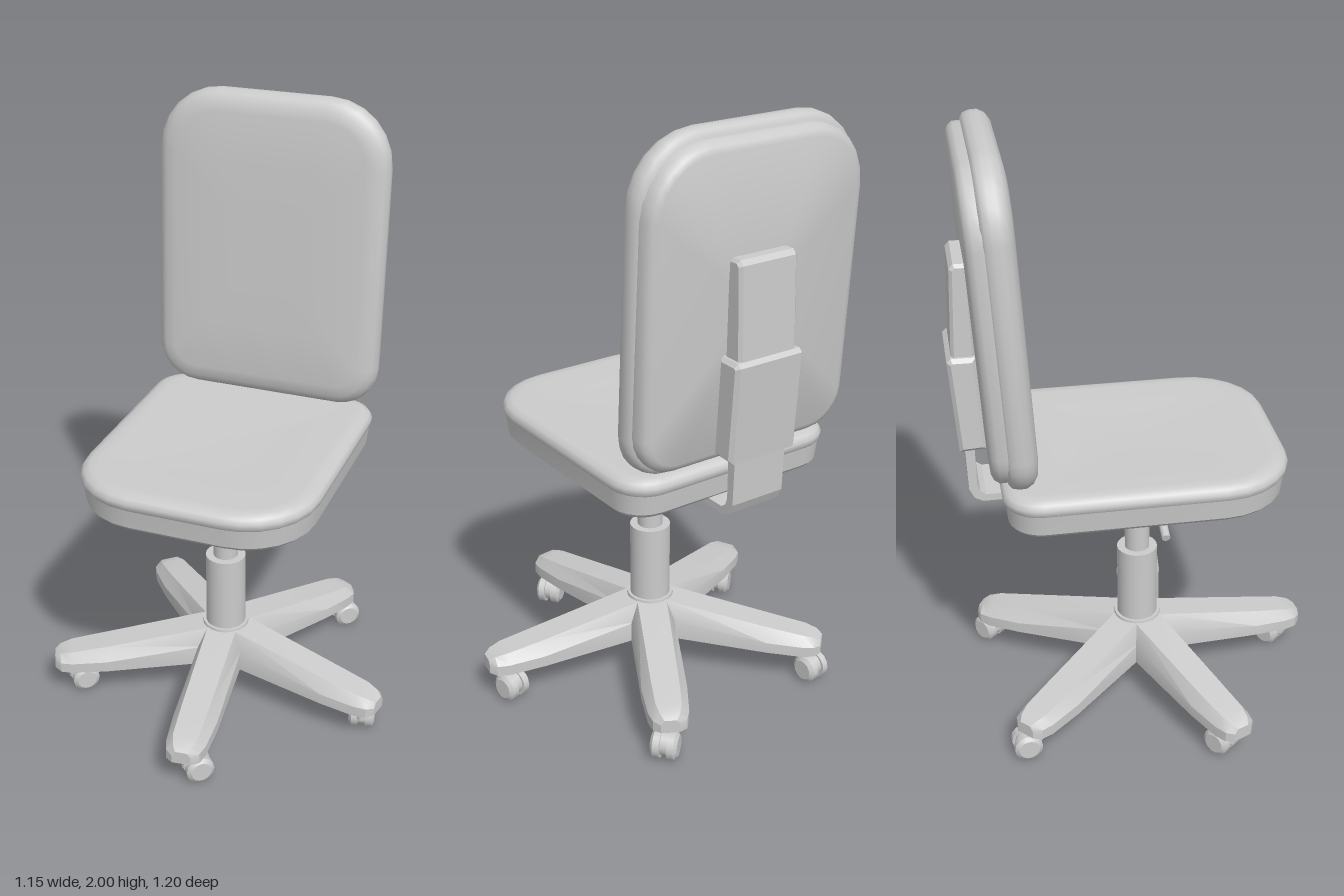
import * as THREE from 'three';
import { toCreasedNormals } from 'three/addons/utils/BufferGeometryUtils.js';

const grey = new THREE.MeshStandardMaterial({ color: 0xcccccc });
const CX = -0.025; // centre line of the chair
const rad = THREE.MathUtils.degToRad;

function add(parent, name, geometry, x = 0, y = 0, z = 0) {
  const mesh = new THREE.Mesh(geometry, grey);
  mesh.name = name;
  mesh.position.set(x, y, z);
  parent.add(mesh);
  return mesh;
}

// Closed skin over rings of [x, y, z], counter-clockwise seen from +z, rising in z
function loft(rings, crease) {
  const n = rings[0].length, pos = rings.flat(2), index = [];
  for (let i = 0; i < rings.length - 1; i++) {
    for (let j = 0; j < n; j++) {
      const k = (j + 1) % n, a = i * n + j, b = i * n + k;
      index.push(a, b, b + n, a, b + n, a + n);
    }
  }
  [0, rings.length - 1].forEach((r, end) => {
    const c = pos.length / 3;
    for (let d = 0; d < 3; d++) pos.push(rings[r].reduce((s, p) => s + p[d], 0) / n);
    for (let j = 0; j < n; j++) {
      const a = r * n + j, b = r * n + (j + 1) % n;
      index.push(c, ...(end ? [a, b] : [b, a]));
    }
  });
  const g = new THREE.BufferGeometry();
  g.setAttribute('position', new THREE.Float32BufferAttribute(pos, 3));
  g.setIndex(index);
  return toCreasedNormals(g, crease);
}

// Rounded rectangle with separate top and bottom radii
function outline(w, h, rTop, rBottom, inset, scale, z) {
  const pts = [], steps = 6;
  const corners = [[1, 1, rTop], [-1, 1, rTop], [-1, -1, rBottom], [1, -1, rBottom]];
  corners.forEach(([sx, sy, r], q) => {
    for (let i = 0; i <= steps; i++) {
      const a = (q + i / steps) * Math.PI / 2, ri = Math.max(r - inset, 0.01);
      pts.push([
        scale * (sx * (w / 2 - inset - ri) + ri * Math.cos(a)),
        scale * (sy * (h / 2 - inset - ri) + ri * Math.sin(a)), z]);
    }
  });
  return pts;
}

// Padded slab; levels are [height, inset, scale]
const slab = (w, h, rTop, rBottom, levels, crease = 0.8) =>
  loft(levels.map(([z, inset, s = 1]) => outline(w, h, rTop, rBottom, inset, s, z)), crease);

// Side profile of [z, y] points, extruded across x with a small chamfer
function sideExtrude(points, width, bevel = 0) {
  const g = new THREE.ExtrudeGeometry(new THREE.Shape(points.map(p => new THREE.Vector2(...p))), {
    depth: width - 2 * bevel, bevelEnabled: bevel > 0, bevelThickness: bevel,
    bevelSize: bevel, bevelOffset: -bevel, bevelSegments: 1 });
  return g.translate(0, 0, bevel - width / 2).rotateY(-Math.PI / 2);
}

function rod(parent, name, from, to, radius) {
  const a = new THREE.Vector3(...from), b = new THREE.Vector3(...to), d = b.clone().sub(a);
  const mesh = add(parent, name, new THREE.CylinderGeometry(radius, radius, d.length(), 10));
  mesh.position.copy(a).add(b).multiplyScalar(0.5);
  mesh.quaternion.setFromUnitVectors(new THREE.Vector3(0, 1, 0), d.normalize());
}

// Twin-wheel caster; its wheels trail towards local +z
function caster() {
  const g = new THREE.Group();
  g.name = 'caster';
  add(g, 'casterStem', new THREE.CylinderGeometry(0.016, 0.016, 0.07, 10), 0, 0.085, 0);
  const across = geo => geo.rotateZ(Math.PI / 2);
  add(g, 'casterBody', across(new THREE.CylinderGeometry(0.04, 0.04, 0.03, 14)), 0, 0.05, 0.035);
  add(g, 'casterHood', new THREE.BoxGeometry(0.04, 0.03, 0.05), 0, 0.083, 0.012);
  for (const s of [-1, 1]) {
    add(g, 'wheel', across(new THREE.CylinderGeometry(0.047, 0.047, 0.022, 14)), s * 0.023, 0.047, 0.038);
    const top = s < 0 ? 0.034 : 0.047, bottom = s < 0 ? 0.047 : 0.034;
    add(g, 'wheelRim', across(new THREE.CylinderGeometry(top, bottom, 0.01, 14)), s * 0.039, 0.047, 0.038);
  }
  return g;
}

// Leg sections: [distance, half width, half top width, bottom, shoulder, top]
const LEG = [
  [0, 0.075, 0.05, 0.13, 0.2, 0.265],
  [0.08, 0.075, 0.05, 0.13, 0.2, 0.257],
  [0.42, 0.075, 0.046, 0.112, 0.15, 0.195],
  [0.54, 0.066, 0.042, 0.105, 0.142, 0.175],
  [0.58, 0.055, 0.032, 0.105, 0.14, 0.165],
  [0.6, 0.032, 0.02, 0.108, 0.136, 0.152],
];

export function createModel() {
  const chair = new THREE.Group();
  chair.name = 'officeChair';

  // Five-star base
  const base = new THREE.Group();
  base.name = 'base';
  base.position.set(CX, 0, 0.005);
  chair.add(base);
  const legGeo = loft(LEG.map(([z, w, t, y0, y1, y2]) =>
    [[-w, y0, z], [w, y0, z], [w, y1, z], [t, y2, z], [-t, y2, z], [-w, y1, z]]), 0.45);
  const swivels = [130, 192, 130, 186, 130];
  swivels.forEach((swivel, i) => {
    const angle = rad(7 + 72 * i);
    add(base, 'leg', legGeo).rotation.y = angle;
    const c = caster();
    c.position.set(0.54 * Math.sin(angle), 0, 0.54 * Math.cos(angle));
    c.rotation.y = rad(swivel);
    base.add(c);
  });
  add(base, 'hub', new THREE.CylinderGeometry(0.078, 0.1, 0.137, 20), 0, 0.198, 0);

  // Gas lift
  add(base, 'columnSleeve', new THREE.CylinderGeometry(0.068, 0.068, 0.28, 24), 0, 0.39, 0);
  add(base, 'columnRod', new THREE.CylinderGeometry(0.042, 0.042, 0.26, 20), 0, 0.65, 0);

  // Tilt mechanism and height lever
  add(chair, 'mechanism', sideExtrude(
    [[0.135, 0.845], [0.135, 0.765], [-0.125, 0.765], [-0.125, 0.845]], 0.26, 0.012), CX);
  add(chair, 'mechanismArm', sideExtrude(
    [[-0.1, 0.845], [-0.1, 0.768], [-0.37, 0.8], [-0.38, 0.845]], 0.2), CX);
  rod(chair, 'leverRod', [-0.13, 0.81, 0.045], [-0.28, 0.765, 0.045], 0.008);
  rod(chair, 'leverHandle', [-0.27, 0.768, 0.045], [-0.33, 0.749, 0.045], 0.014);

  // Seat: pan below, cushion above; the outline's bottom edge becomes the front
  const seat = new THREE.Group();
  seat.name = 'seat';
  seat.position.x = CX;
  seat.rotation.x = -Math.PI / 2;
  chair.add(seat);
  add(seat, 'seatPan', slab(0.79, 0.92, 0.12, 0.24,
    [[0.838, 0.028], [0.852, 0.014], [0.92, 0.006]], 0.5));
  add(seat, 'seatCushion', slab(0.79, 0.925, 0.12, 0.24,
    [[0.912, 0.012], [0.925, 0.002], [0.942, 0], [0.957, 0.01], [0.966, 0.03],
      [0.967, 0.06], [0.962, 0.06, 0.65], [0.957, 0.06, 0.3]]));

  // Backrest: cushion in front, shell behind
  const back = new THREE.Group();
  back.name = 'backrest';
  back.position.set(CX, 1.485, -0.445);
  back.rotation.x = -0.057;
  chair.add(back);
  add(back, 'backCushion', slab(0.79, 1.035, 0.21, 0.14,
    [[-0.026, 0.02], [-0.015, 0.006], [0.005, 0], [0.028, 0], [0.05, 0.012],
      [0.064, 0.034], [0.07, 0.07], [0.076, 0.07, 0.65], [0.077, 0.07, 0.3]]));
  add(back, 'backShell', slab(0.765, 0.98, 0.2, 0.13,
    [[-0.074, 0.03], [-0.066, 0.012], [-0.05, 0], [-0.01, 0]]));

  // Spine: tapered upper cover, wider sleeve and L-shaped bar
  add(chair, 'spineCover', sideExtrude(
    [[-0.51, 1.3], [-0.585, 1.3], [-0.573, 1.62], [-0.56, 1.635], [-0.515, 1.635]], 0.21, 0.01), CX);
  add(chair, 'spineSleeve', sideExtrude(
    [[-0.49, 1.02], [-0.575, 1.015], [-0.598, 1.325], [-0.585, 1.337], [-0.51, 1.337]], 0.25, 0.012), CX);
  add(chair, 'supportBar', sideExtrude(
    [[-0.36, 0.842], [-0.36, 0.818], [-0.51, 0.818], [-0.537, 0.832], [-0.553, 0.865],
      [-0.56, 1.05], [-0.528, 1.05], [-0.527, 0.88], [-0.518, 0.855], [-0.5, 0.842]], 0.19), CX);

  return chair;
}
